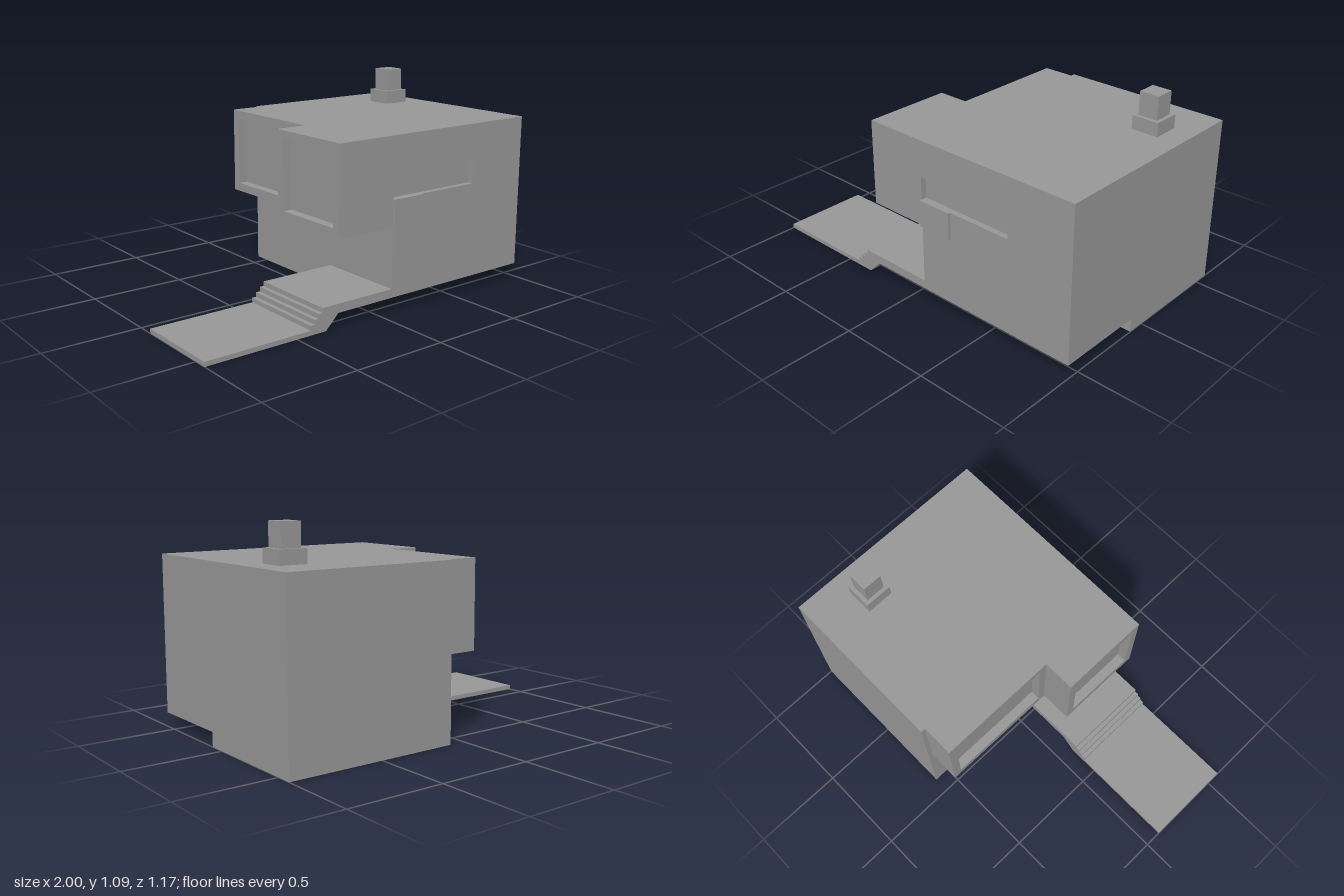
import * as THREE from 'three';

const material = new THREE.MeshStandardMaterial({ color: 0x999999, flatShading: true });
const FLOOR = 0.074, UPPER = 0.437, ROOF = 0.892; // heights
const BACK = -0.585, FRONT = 0.572, STEP_Z = 0.09; // depths
const WALL_X = 0.085, SLOT = 0.03, RECESS = 0.05;

function outline(points, Type = THREE.Shape) {
  return new Type(points.map(([x, y]) => new THREE.Vector2(x, y)));
}

const rect = (x0, y0, x1, y1) => [[x0, y0], [x1, y0], [x1, y1], [x0, y1]];

function extrude(shape, depth) {
  return new THREE.ExtrudeGeometry(shape, { depth, bevelEnabled: false });
}

export function createModel() {
  const house = new THREE.Group();
  house.name = 'house';

  function add(name, geometry) {
    const mesh = new THREE.Mesh(geometry, material);
    mesh.name = name;
    house.add(mesh);
  }

  // Box given by its minimum and maximum corners
  function addBox(name, x0, y0, z0, x1, y1, z1) {
    add(name, new THREE.BoxGeometry(x1 - x0, y1 - y0, z1 - z0)
      .translate((x0 + x1) / 2, (y0 + y1) / 2, (z0 + z1) / 2));
  }

  // Lower storey: the front strip is raised off the ground
  addBox('lowerStoreyRear', WALL_X, 0, BACK, 1, UPPER, STEP_Z);
  addBox('lowerStoreyFront', WALL_X, FLOOR, STEP_Z, 1, UPPER, FRONT - SLOT);

  // Upper storey: stepped plan with two overhanging bays
  const plan = [
    [-0.205, FRONT - SLOT], [1, FRONT - SLOT], [1, BACK], [WALL_X, BACK],
    [WALL_X, -0.56], [-0.035, -0.56], [-0.035, STEP_Z], [-0.205, STEP_Z],
  ];
  add('upperStorey', extrude(outline(plan.map(([x, z]) => [x, -z])), ROOF - UPPER)
    .rotateX(-Math.PI / 2).translate(0, UPPER, 0));

  // Front wall with a long slot window
  const wall = outline([
    [WALL_X, FLOOR], [1, FLOOR], [1, ROOF], [-0.205, ROOF], [-0.205, UPPER], [WALL_X, UPPER],
  ]);
  wall.holes.push(outline(rect(WALL_X, 0.578, 0.635, 0.7), THREE.Path));
  add('frontWall', extrude(wall, SLOT).translate(0, 0, FRONT - SLOT));

  // Shallow box under the slot window
  addBox('windowBox', WALL_X, UPPER - 0.002, FRONT, 0.275, 0.578, 0.585);

  // Deep window frames on the side of each bay
  const bays = [
    ['frontBayFrame', -0.205, STEP_Z, FRONT],
    ['rearBayFrame', -0.035, -0.56, STEP_Z],
  ];
  const rim = 0.045;
  for (const [name, x, z0, z1] of bays) {
    const frame = outline(rect(z0, UPPER, z1, ROOF));
    frame.holes.push(outline(rect(z0 + rim, UPPER + rim, z1 - rim, ROOF - rim), THREE.Path));
    add(name, extrude(frame, RECESS).rotateY(-Math.PI / 2).translate(x, 0, 0));
  }

  // Entrance path, steps and landing as one side profile
  const path = [[-1, 0], [-0.33, 0], [-0.255, FLOOR], [WALL_X, FLOOR], [WALL_X, 0.12]];
  for (let i = 0; i < 4; i++) {
    const x = -0.35 - i * 0.0235;
    path.push([x, 0.12 - i * 0.024], [x, 0.12 - (i + 1) * 0.024]);
  }
  path.push([-1, 0.024]);
  add('entrancePath', extrude(outline(path), FRONT - STEP_Z).translate(0, 0, STEP_Z));

  // Chimney
  addBox('chimneyBase', 0.734, ROOF, -0.345, 0.879, 0.964, -0.2);
  addBox('chimneyStack', 0.754, 0.964, -0.325, 0.859, 1.085, -0.22);

  return house;
}
